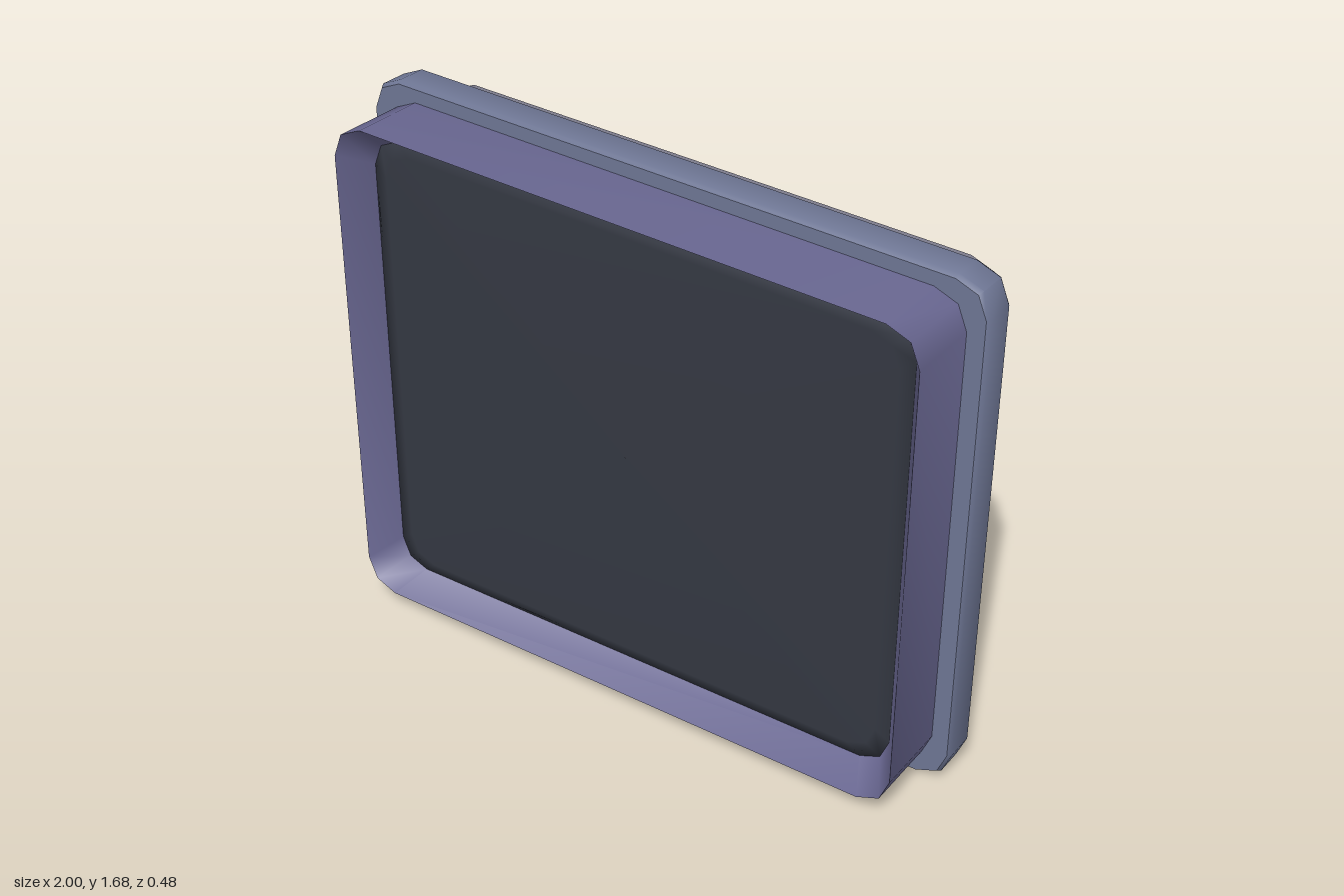
import * as THREE from 'three';
import { toCreasedNormals } from 'three/addons/utils/BufferGeometryUtils.js';

const mat = (color) => new THREE.MeshStandardMaterial({ color, side: THREE.DoubleSide });
const topY = (x) => 1.635 - 0.05 * x; // sloping top edge

// Rounded outline, inset from the widest outline by dx and dy, counter-clockwise
function outline(dx, dy, r) {
  const c = 1 - dx - r, pts = [];
  const centres = [
    [-c, dy + r], [c, dy + r],
    [c, topY(c) - dy - r], [-c, topY(-c) - dy - r],
  ];
  centres.forEach(([cx, cy], k) => {
    for (let s = 0; s <= 2; s++) {
      const a = Math.PI + (k + s / 2) * Math.PI / 2;
      pts.push(new THREE.Vector2(cx + r * Math.cos(a), cy + r * Math.sin(a)));
    }
  });
  return pts;
}

// Skin between rings of equal point count; each ring is { pts, z }
function loft(rings) {
  const n = rings[0].pts.length, pos = [], idx = [];
  for (const { pts, z } of rings) for (const p of pts) pos.push(p.x, p.y, z);
  for (let j = 0; j < rings.length - 1; j++) {
    for (let i = 0; i < n; i++) {
      const a = j * n + i, b = j * n + (i + 1) % n;
      idx.push(a, b, b + n, a, b + n, a + n);
    }
  }
  const g = new THREE.BufferGeometry();
  g.setAttribute('position', new THREE.Float32BufferAttribute(pos, 3));
  g.setIndex(idx);
  g.computeVertexNormals();
  return g;
}

// Flat ring with a hole, from z0 to z1; an optional shallow taper softens the rim
function ringPlate(outer, inner, z0, z1, taper = 0) {
  const shape = new THREE.Shape(outer);
  shape.holes.push(new THREE.Path(inner));
  const g = new THREE.ExtrudeGeometry(shape, {
    depth: z1 - z0 - 2 * taper, bevelEnabled: taper > 0, bevelThickness: taper,
    bevelSize: taper * 0.6, bevelOffset: -taper * 0.6, bevelSegments: 1,
  });
  return g.translate(0, 0, z0 + taper);
}

export function createModel() {
  const root = new THREE.Group();
  const add = (name, geometry, material, parent = root) => {
    const mesh = new THREE.Mesh(geometry, material);
    mesh.name = name;
    parent.add(mesh);
    return mesh;
  };
  const creased = (g) => toCreasedNormals(g, 0.85);
  const blue = mat(0x6e7694), purple = mat(0x686690), dark = mat(0x343842);
  const grey = mat(0x7c7b8b), steel = mat(0x96959b);

  // Front housing: straight outer wall and a lip sloping in to the panel
  const lip = outline(0.12, 0.105, 0.09);
  const wall = outline(0.06, 0.05, 0.1);
  add('housing', creased(loft([
    { pts: wall, z: -0.01 },
    { pts: wall, z: 0.24 },
    { pts: lip, z: 0.14 },
  ])), purple);

  // Dark front panel, softly shaded, with its side walls running back to the flange
  const cy = 0.815;
  const scaled = (s) => lip.map((p) => new THREE.Vector2(p.x * s, cy + (p.y - cy) * s));
  add('frontPanel', loft([
    { pts: lip, z: -0.005 },
    { pts: lip, z: 0.14 },
    { pts: scaled(0.95), z: 0.147 },
    { pts: scaled(0.5), z: 0.153 },
    { pts: scaled(0.001), z: 0.155 },
  ]), dark);

  // Middle flange and the thin seal behind it
  add('flange', creased(ringPlate(outline(0, 0, 0.1), lip, -0.12, 0, 0.015)), blue);
  add('seal', creased(ringPlate(outline(0.09, 0.08, 0.1), lip, -0.133, -0.119)), blue);

  // Rear door frame with louvre slats
  const door = new THREE.Group();
  door.name = 'rearDoor';
  root.add(door);
  add('doorFrame', creased(ringPlate(outline(0.08, 0.07, 0.1), outline(0.21, 0.205, 0.004), -0.24, -0.132)), grey, door);
  for (const [y, slope] of [[1.24, 0.066], [0.87, 0.052], [0.48, 0.032]]) {
    const slat = add('slat', new THREE.BoxGeometry(1.58, 0.21, 0.06), grey, door);
    slat.position.set(0, y, -0.195);
    slat.rotation.set(-0.1, 0, -slope, 'ZXY');
  }

  // Two bent hinge plates on the left side
  const profile = new THREE.Shape([
    [0.9, 0.12], [0.99, 0.12], [0.985, 0.134], [0.945, 0.147], [0.93, 0.165], [0.926, 0.239], [0.9, 0.239],
  ].map(([x, z]) => new THREE.Vector2(x, z)));
  for (const y of [0.28, 1.0]) {
    const g = new THREE.ExtrudeGeometry(profile, { depth: 0.312, bevelEnabled: false });
    g.rotateX(-Math.PI / 2); // profile depth now runs along -z, extrusion along +y
    add('hinge', g, steel).position.y = y;
  }
  return root;
}
